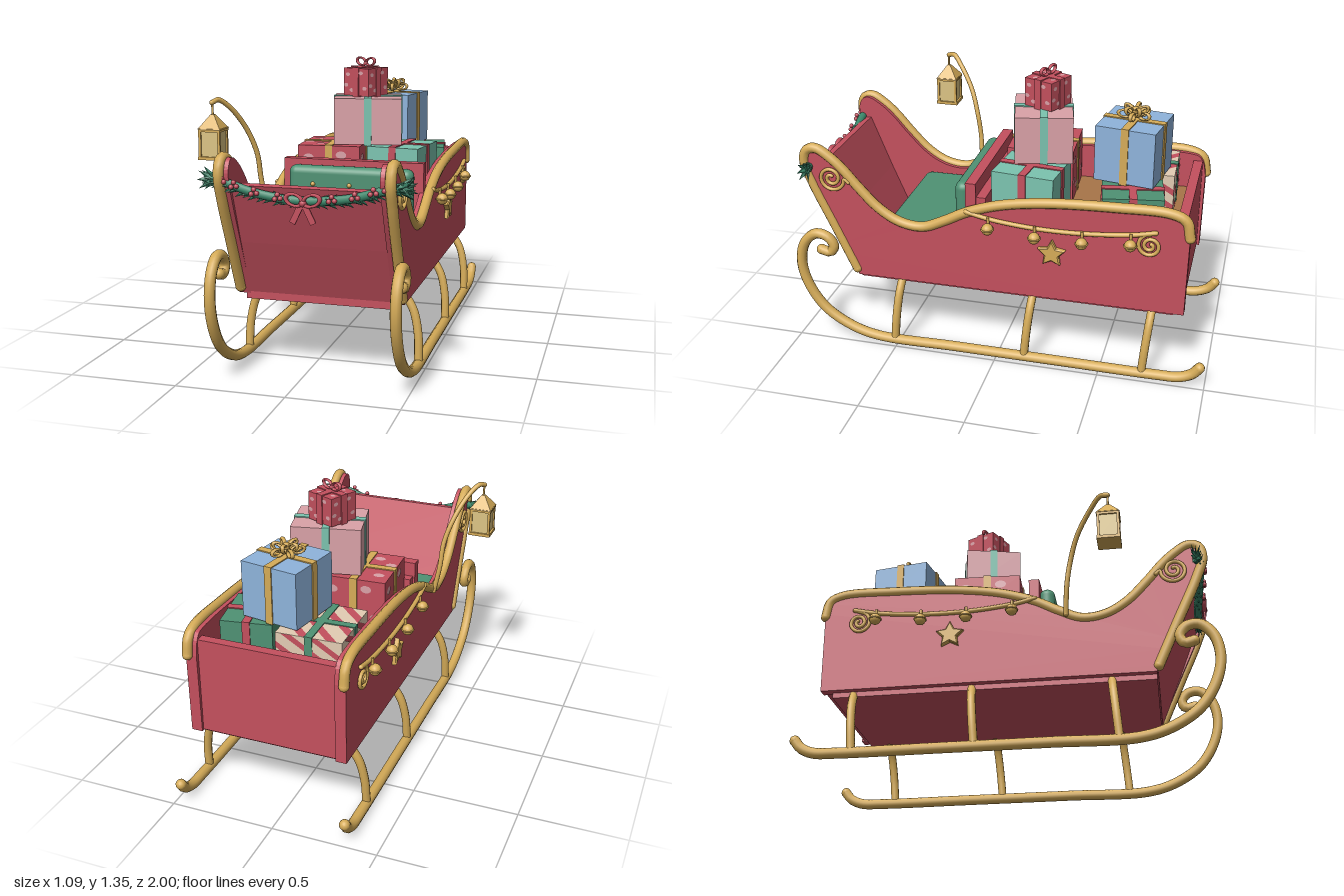
import * as THREE from 'three';
import { RoundedBoxGeometry } from 'three/addons/geometries/RoundedBoxGeometry.js';

const mat = (name, color) => Object.assign(new THREE.MeshStandardMaterial({ color }), { name });
const V = (x, y, z) => new THREE.Vector3(x, y, z);

export function createModel() {
  const red = mat('sleigh red', 0xc4505e), gold = mat('gold', 0xd6ac58), green = mat('seat green', 0x4f9274);
  const leafGreen = mat('leaf green', 0x3b876a), teal = mat('teal', 0x7cc4b0), pink = mat('pink', 0xdba2a8);
  const blue = mat('blue', 0x8fb4dc), wood = mat('wood brown', 0xa87548), cream = mat('cream', 0xe3cdb4);
  const glass = mat('lantern glass', 0xdcc484);

  const model = new THREE.Group();
  const sleigh = new THREE.Group();
  sleigh.name = 'sleigh';
  sleigh.position.x = 0.065;
  model.add(sleigh);

  const add = (parent, name, geo, material, x = 0, y = 0, z = 0) => {
    const m = new THREE.Mesh(geo, material);
    m.name = name;
    m.position.set(x, y, z);
    parent.add(m);
    return m;
  };
  const group = (parent, name, x = 0, y = 0, z = 0) => {
    const g = new THREE.Group();
    g.name = name;
    g.position.set(x, y, z);
    parent.add(g);
    return g;
  };
  const box = (parent, name, material, w, h, d, x, y, z) =>
    add(parent, name, new THREE.BoxGeometry(w, h, d), material, x, y, z);
  const ball = (parent, name, r, material, p) =>
    add(parent, name, new THREE.SphereGeometry(r, 14, 10), material, p.x, p.y, p.z);
  // Round bar along a smooth path, with rounded ends
  const bar = (parent, name, pts, r, material, seg = 60) => {
    const curve = new THREE.CatmullRomCurve3(pts, false, 'centripetal');
    add(parent, name, new THREE.TubeGeometry(curve, seg, r, 10), material);
    for (const p of [pts[0], pts[pts.length - 1]]) ball(parent, name + 'End', r, material, p);
  };
  // Side profile in (z, y), extruded symmetrically across x
  const slab = (parent, name, material, pts, width, x = 0, bevel = 0) => {
    const shape = new THREE.Shape(pts.map(([z, y]) => new THREE.Vector2(z, y)));
    const geo = new THREE.ExtrudeGeometry(shape, {
      depth: width, bevelEnabled: bevel > 0, bevelSize: bevel, bevelThickness: bevel, bevelSegments: 1 });
    geo.translate(0, 0, -width / 2).rotateY(-Math.PI / 2);
    return add(parent, name, geo, material, x);
  };
  const spiral = (sx, z, y, r, dir, turns, a0) => Array.from({ length: 30 }, (_, i) => {
    const t = i / 29, a = a0 + dir * turns * Math.PI * 2 * t, k = r * (1 - 0.82 * t);
    return V(sx * 0.388, y + k * Math.sin(a), z + k * Math.cos(a));
  });

  // Body: floor, front, back, seat divider
  box(sleigh, 'basePlate', red, 0.69, 0.045, 1.52, 0, 0.3475, -0.07);
  box(sleigh, 'floor', red, 0.68, 0.02, 1.54, 0, 0.365, -0.09);
  slab(sleigh, 'frontPanel', red,
    [[0.655, 0.36], [0.695, 0.36], [0.80, 0.61], [0.905, 0.88], [0.87, 0.885], [0.765, 0.62]], 0.69);
  box(sleigh, 'backPanel', red, 0.69, 0.46, 0.045, 0, 0.585, -0.845);
  box(sleigh, 'cargoFloor', wood, 0.66, 0.02, 0.90, 0, 0.66, -0.38);
  box(sleigh, 'seatDivider', red, 0.69, 0.5, 0.05, 0, 0.63, 0.13);
  box(sleigh, 'dividerLedge', red, 0.67, 0.44, 0.045, 0, 0.59, 0.083);
  box(sleigh, 'seatBox', red, 0.66, 0.12, 0.40, 0, 0.42, 0.35);

  // Upholstery
  add(sleigh, 'seatCushion', new RoundedBoxGeometry(0.65, 0.15, 0.37, 4, 0.04), green, 0, 0.545, 0.385);
  add(sleigh, 'seatBack', new RoundedBoxGeometry(0.61, 0.32, 0.075, 4, 0.035), green, 0, 0.695, 0.185);
  for (const y of [0.68, 0.77]) for (const x of [-0.18, 0, 0.18])
    ball(sleigh, 'seatButton', 0.011, gold, V(x, y, 0.222));

  const rim = [[0.70, 0.38], [0.80, 0.60], [0.90, 0.82], [0.932, 0.92], [0.915, 0.98], [0.87, 0.992], [0.80, 0.95],
    [0.74, 0.895], [0.67, 0.815], [0.57, 0.715], [0.47, 0.658], [0.36, 0.645], [0.25, 0.69], [0.145, 0.745],
    [-0.016, 0.80], [-0.23, 0.835], [-0.55, 0.852], [-0.80, 0.85], [-0.865, 0.82], [-0.885, 0.74]];
  const runner = [[-0.972, 0.098], [-0.94, 0.06], [-0.88, 0.034], [-0.78, 0.029], [-0.3, 0.029], [0.2, 0.029],
    [0.60, 0.031], [0.74, 0.07], [0.87, 0.155], [0.95, 0.28], [0.975, 0.40], [0.95, 0.505], [0.89, 0.56],
    [0.83, 0.55], [0.80, 0.505], [0.82, 0.47], [0.865, 0.478]];
  const rimOutline = new THREE.SplineCurve(rim.map(p => new THREE.Vector2(...p))).getPoints(90).map(p => [p.x, p.y]);
  const star = Array.from({ length: 10 }, (_, i) => {
    const a = Math.PI / 2 + i * Math.PI / 5, r = i % 2 ? 0.029 : 0.06;
    return [-0.265 + r * Math.cos(a), 0.594 + r * Math.sin(a)];
  });

  // Sides, runners and side ornaments
  for (const sx of [-1, 1]) {
    const side = group(sleigh, sx > 0 ? 'leftSide' : 'rightSide');
    slab(side, 'sidePanel', red, [...rimOutline, [-0.88, 0.35], [0.69, 0.35]], 0.052, sx * 0.352);
    bar(side, 'rim', rim.map(([z, y]) => V(sx * 0.37, y, z)), 0.024, gold, 140);
    bar(side, 'runner', runner.map(([z, y]) => V(sx * 0.405, y, z)), 0.025, gold, 140);
    for (const z of [0.51, -0.14, -0.705])
      bar(side, 'strut', [V(sx * 0.405, 0.04, z), V(sx * 0.40, 0.16, z - 0.01), V(sx * 0.375, 0.27, z - 0.02),
        V(sx * 0.325, 0.35, z - 0.027)], 0.02, gold, 16);
    bar(side, 'swag', [[0.14, 0.757], [0.03, 0.733], [-0.15, 0.714], [-0.3, 0.71], [-0.45, 0.716], [-0.63, 0.735],
      [-0.735, 0.757]].map(([z, y]) => V(sx * 0.388, y, z)), 0.011, gold);
    for (const [z, y] of [[0.032, 0.692], [-0.187, 0.674], [-0.406, 0.674], [-0.626, 0.692]]) {
      ball(side, 'bell', 0.028, gold, V(sx * 0.412, y, z));
      add(side, 'bellBand', new THREE.TorusGeometry(0.028, 0.004, 6, 18), gold, sx * 0.412, y, z).rotation.x = Math.PI / 2;
      add(side, 'bellHook', new THREE.CylinderGeometry(0.007, 0.007, 0.04, 8), gold, sx * 0.40, y + 0.035, z);
    }
    slab(side, 'star', gold, star, 0.018, sx * 0.385, 0.006);
    bar(side, 'frontScroll', [V(sx * 0.388, 0.84, 0.71), ...spiral(sx, 0.795, 0.855, 0.065, 1, 1.8, Math.PI)], 0.009, gold, 90);
    bar(side, 'rearScroll', spiral(sx, -0.711, 0.69, 0.057, -1, 1.9, Math.PI / 2), 0.009, gold, 90);
  }

  // Garland across the front
  const garland = group(sleigh, 'garland');
  const vine = new THREE.CatmullRomCurve3([V(-0.41, 0.905, 0.90), V(-0.34, 0.89, 0.915), V(-0.2, 0.85, 0.912),
    V(0, 0.828, 0.905), V(0.2, 0.85, 0.912), V(0.34, 0.89, 0.915), V(0.41, 0.905, 0.90)]);
  add(garland, 'vine', new THREE.TubeGeometry(vine, 50, 0.02, 8), leafGreen);
  const leafGeo = new THREE.ConeGeometry(0.02, 0.075, 5).translate(0, 0.03, 0).scale(1, 1, 0.5);
  const up = V(0, 1, 0);
  const leaf = (p, dir, s = 1) => {
    const m = add(garland, 'leaf', leafGeo, leafGreen, p.x, p.y, p.z);
    m.quaternion.setFromUnitVectors(up, dir.normalize());
    m.scale.setScalar(s);
  };
  for (let i = 0; i < 34; i++) {
    const t = i / 33, p = vine.getPoint(t), out = t < 0.5 ? -1 : 1;
    for (let k = 0; k < 4; k++) {
      const a = k * Math.PI / 2 + i * 0.9;
      leaf(p, V(out * 1.1, 0, 0).add(V(0, Math.sin(a) * 0.75, Math.cos(a) * 0.5)), 0.85);
    }
  }
  for (const sx of [-1, 1]) for (let k = 0; k < 7; k++)
    leaf(V(sx * 0.40, 0.90, 0.90), V(sx, -0.9 + k * 0.3, k % 2 ? 0.35 : -0.35), 1.15);
  for (const t of [0.13, 0.22, 0.32, 0.41, 0.6, 0.69, 0.78, 0.87]) {
    const p = vine.getPoint(t);
    for (const [dx, dy] of [[-0.012, 0], [0.012, 0.004], [0, 0.02]])
      ball(garland, 'berry', 0.011, red, V(p.x + dx, p.y + dy, p.z + 0.024));
  }

  // Ribbon bow with two loops and two tails
  const bow = (parent, s, x, y, z, tails) => {
    const g = group(parent, 'bow', x, y, z);
    g.scale.setScalar(s);
    for (const sx of [-1, 1]) {
      const loop = add(g, 'bowLoop', new THREE.TorusGeometry(0.033, 0.009, 8, 20), red, sx * 0.038, 0.012, 0);
      loop.scale.set(1.1, 0.72, 1.3);
      loop.rotation.z = sx * 0.3;
      if (tails) box(g, 'bowTail', red, 0.026, 0.09, 0.008, sx * 0.026, -0.045, 0).rotation.z = sx * 0.45;
    }
    ball(g, 'bowKnot', 0.016, red, V(0, 0, 0));
  };
  bow(sleigh, 1, 0, 0.825, 0.935, true);

  // Lantern on a curved pole
  const lantern = group(model, 'lantern');
  bar(lantern, 'lanternPole', [V(-0.325, 0.66, 0.285), V(-0.35, 0.80, 0.295), V(-0.36, 0.92, 0.315),
    V(-0.395, 1.04, 0.355), V(-0.445, 1.145, 0.425), V(-0.485, 1.188, 0.475), V(-0.503, 1.178, 0.51)], 0.012, gold);
  bar(lantern, 'lanternHook', [V(-0.502, 1.18, 0.51), V(-0.5, 1.12, 0.51)], 0.005, gold, 6);
  const roof = add(lantern, 'lanternRoof', new THREE.CylinderGeometry(0.012, 0.078, 0.065, 4).toNonIndexed(), gold, -0.5, 1.092, 0.51);
  roof.geometry.computeVertexNormals();
  roof.rotation.y = Math.PI / 4;
  box(lantern, 'lanternGlass', glass, 0.09, 0.13, 0.09, -0.5, 0.99, 0.51);
  box(lantern, 'lanternBase', gold, 0.11, 0.015, 0.11, -0.5, 0.928, 0.51);
  box(lantern, 'lanternTop', gold, 0.106, 0.015, 0.106, -0.5, 1.056, 0.51);
  for (const a of [-1, 1]) for (const b of [-1, 1])
    box(lantern, 'lanternPost', gold, 0.012, 0.13, 0.012, -0.5 + a * 0.046, 0.99, 0.51 + b * 0.046);

  // Gift boxes: y0 and y1 are bottom and top
  const gift = (name, material, ribbon, w, d, y0, y1, x, z, turn) => {
    const g = group(model, name, x, y0, z), h = y1 - y0, rw = 0.036;
    g.rotation.y = turn;
    box(g, 'giftBox', material, w, h, d, 0, h / 2, 0);
    box(g, 'ribbonAcross', ribbon, w + 0.01, h + 0.01, rw, 0, h / 2, 0);
    box(g, 'ribbonAlong', ribbon, rw, h + 0.01, d + 0.01, 0, h / 2, 0);
    return g;
  };
  // Puts flat face details on the top and four sides
  const onFaces = (g, name, material, w, h, d, make) => {
    const top = add(g, name, make(w, d), material, 0, h + 0.002, 0);
    top.rotation.x = -Math.PI / 2;
    for (let k = 0; k < 4; k++) {
      const a = k * Math.PI / 2, [fw, off] = k % 2 ? [d, w] : [w, d];
      const m = add(g, name, make(fw, h), material, Math.sin(a) * (off / 2 + 0.002), h / 2, Math.cos(a) * (off / 2 + 0.002));
      m.rotation.y = a;
    }
  };
  const blob = (cx, cy, rx, ry) => new THREE.Shape().absellipse(cx, cy, rx, ry, 0, Math.PI * 2);
  const patches = (w, h) => new THREE.ShapeGeometry([[-0.33, 0.27], [-0.17, -0.3], [0.35, -0.22], [0.2, 0.33], [-0.4, -0.12]]
    .map(([u, v]) => blob(u * w, v * h, w * 0.085, Math.min(h * 0.14, w * 0.06))), 10);
  const stripes = (w, h) => new THREE.ShapeGeometry([[-0.76, -0.6], [-0.36, -0.2], [0.08, 0.24], [0.48, 0.64]].map(([a, b]) => {
    const ends = u => u < 0 ? [[-0.5, u + 0.5], [u + 0.5, -0.5]] : [[u - 0.5, 0.5], [0.5, u - 0.5]];
    const [p, q] = ends(a), [r, s] = ends(b);
    return new THREE.Shape([p, q, s, r].map(([x, y]) => new THREE.Vector2(x * w, y * h)));
  }));

  const spotted = gift('spottedGift', red, gold, 0.31, 0.32, 0.67, 0.93, -0.095, -0.11, 0.05);
  onFaces(spotted, 'patches', pink, 0.31, 0.26, 0.32, patches);
  gift('tealGift', teal, red, 0.26, 0.30, 0.67, 0.93, 0.245, -0.12, -0.12);
  gift('pinkGift', pink, teal, 0.33, 0.27, 0.935, 1.16, 0.065, -0.135, 0.23);
  const small = gift('smallGift', red, red, 0.155, 0.155, 1.165, 1.30, 0.048, -0.15, -0.42);
  onFaces(small, 'patches', pink, 0.155, 0.135, 0.155, patches);
  bow(small, 0.75, 0, 0.155, 0, false);
  const striped = gift('stripedGift', cream, green, 0.31, 0.33, 0.67, 0.865, -0.085, -0.595, 0.03);
  onFaces(striped, 'stripes', red, 0.31, 0.195, 0.33, stripes);
  gift('greenGift', green, red, 0.24, 0.28, 0.67, 0.865, 0.245, -0.595, 0.17);
  const big = gift('blueGift', blue, gold, 0.285, 0.285, 0.875, 1.14, 0.09, -0.57, -0.17);

  // Rosette on the blue gift
  const rosette = group(big, 'rosette', 0, 0.272, 0);
  for (let i = 0; i < 10; i++) {
    const petal = group(rosette, 'petal');
    petal.rotation.y = i * Math.PI / 5;
    const inner = i % 2;
    const loop = add(petal, 'rosetteLoop', new THREE.TorusGeometry(0.024, 0.007, 6, 16), gold, inner ? 0.032 : 0.05, inner ? 0.038 : 0.022, 0);
    loop.scale.set(1.2, 0.7, 1.4);
    loop.rotation.z = inner ? 0.6 : 0.15;
  }
  ball(rosette, 'rosetteKnot', 0.018, gold, V(0, 0.04, 0));

  return model;
}
